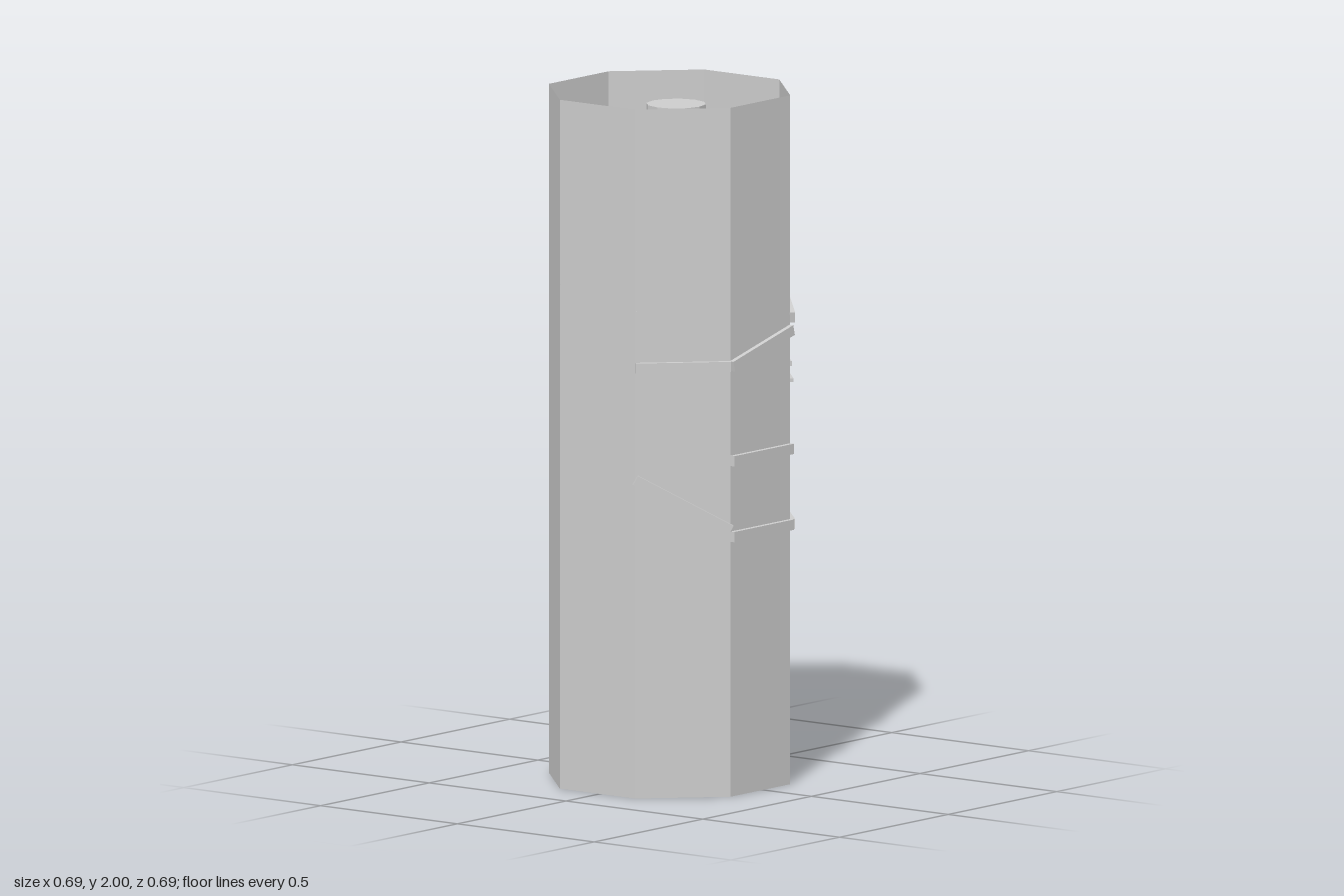
import * as THREE from 'three';

export function createModel() {
  const model = new THREE.Group();
  model.name = 'octagonalTower';
  const stone = new THREE.MeshStandardMaterial({ color: 0xcccccc, flatShading: true, side: THREE.DoubleSide });
  stone.name = 'light grey';

  const add = (parent, name, geometry, x = 0, y = 0, z = 0) => {
    const mesh = new THREE.Mesh(geometry, stone);
    mesh.name = name;
    mesh.position.set(x, y, z);
    parent.add(mesh);
    return mesh;
  };
  const box = (w, h, d) => new THREE.BoxGeometry(w, h, d);

  // Open octagonal shell with a closed floor
  const tower = new THREE.Group();
  tower.name = 'tower';
  tower.position.set(-0.012, 0, -0.009);
  model.add(tower);
  const apothem = 0.332, side = 0.275, radius = apothem / Math.cos(Math.PI / 8);
  add(tower, 'wall', new THREE.CylinderGeometry(radius, radius, 2, 8, 1, true, Math.PI / 8), 0, 1, 0);
  const floor = add(tower, 'floor', new THREE.CircleGeometry(radius, 8, Math.PI / 8));
  floor.rotation.x = Math.PI / 2;

  // Sloping bands: face index counts from the front towards the model's left;
  // y0 and y1 are the heights at the two ends, near and far the distances from the axis
  const band = (name, face, y0, y1, near = 0.31, far = 0.346, h = 0.03) => {
    const pivot = new THREE.Group();
    pivot.name = name;
    pivot.rotation.y = face * Math.PI / 4;
    tower.add(pivot);
    const bar = add(pivot, name + 'Bar', box(Math.hypot(side, y1 - y0), h, far - near), 0, (y0 + y1) / 2, (near + far) / 2);
    bar.rotation.z = Math.atan2(y1 - y0, side);
  };
  [
    [7, 1.25, 1.25], [0, 1.25, 1.32], [1, 1.355, 1.405],
    [2, 1.13, 1.1], [3, 1.1, 1.07],
    [0, 0.975, 0.975], [2, 0.905, 0.875],
    [7, 0.925, 0.775], [0, 0.755, 0.755], [1, 0.755, 0.755], [2, 0.745, 0.67],
  ].forEach(([f, a, b]) => band('outerBand', f, a, b));

  // Inner ledges on the remaining faces
  [[2, 1.6, 1.585], [3, 1.585, 1.55], [4, 1.55, 1.5], [5, 1.5, 1.45], [6, 1.45, 1.4]]
    .forEach(([f, a, b]) => band('innerLedge', f, a, b, 0.29, 0.33));

  // Small handle and peg on the front left face
  const fittings = new THREE.Group();
  fittings.name = 'fittings';
  fittings.rotation.y = Math.PI / 4;
  tower.add(fittings);
  add(fittings, 'handle', box(0.15, 0.01, 0.025), 0.015, 1.16, 0.338);
  add(fittings, 'peg', box(0.03, 0.014, 0.02), -0.04, 1.207, 0.336);

  // Central column with its platform
  const core = new THREE.Group();
  core.name = 'core';
  core.position.set(-0.003, 0, 0.008);
  model.add(core);
  add(core, 'column', new THREE.CylinderGeometry(0.086, 0.086, 1.96, 12), 0, 0.98, 0);
  add(core, 'platform', new THREE.CylinderGeometry(0.168, 0.168, 0.04, 20), 0, 1.84, 0);

  // Arms radiating from the column, descending in a spiral
  const arm = (angle, length, top) => {
    const pivot = new THREE.Group();
    pivot.name = 'arm';
    pivot.rotation.y = angle;
    core.add(pivot);
    add(pivot, 'armBeam', box(length, 0.04, 0.086), length / 2, top - 0.02, 0);
  };
  arm(1.33, 0.275, 1.86);
  arm(1.33 + Math.PI, 0.31, 1.86);
  arm(0, 0.305, 1.78);
  arm(2.95, 0.28, 1.74);
  for (let i = 0; i < 8; i++) arm(0.79 + i * 1.05, 0.3, 1.6 - i * 0.18);

  // Blocks, steps and crossbars beside the column
  add(model, 'backBlock', box(0.19, 0.08, 0.08), -0.005, 1.35, -0.235);
  add(model, 'backRoller', box(0.165, 0.03, 0.014), -0.003, 1.4, -0.28);
  add(model, 'frontBar', box(0.25, 0.05, 0.045), -0.003, 1.35, 0.253);
  add(model, 'frontBlock', box(0.06, 0.05, 0.04), -0.128, 1.3, 0.157);
  for (let i = 0; i < 4; i++) add(model, 'sideStep', box(0.046, 0.03, 0.045), -0.253, 1.3 - i * 0.04, 0.008 + i * 0.045);
  return model;
}
